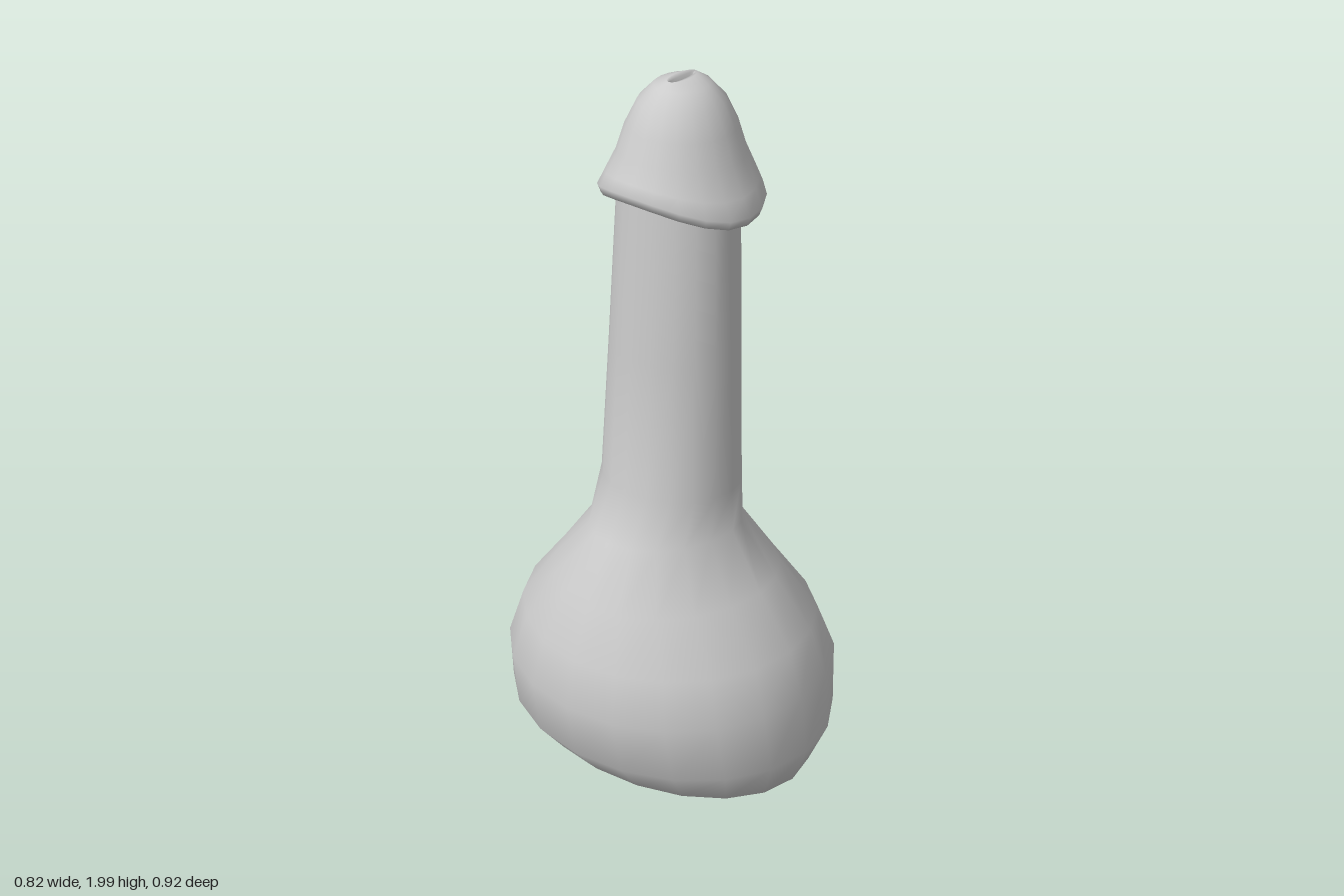
import * as THREE from 'three';

const SIDES = 20;
const gauss = (a, centre, width) => Math.exp(-(((a - centre) / width) ** 2));

// Skin a surface over rings of points, listed from bottom to top
function loft(name, rows, pointAt, material) {
  const positions = [], index = [];
  rows.forEach((row) => {
    for (let i = 0; i < SIDES; i++) {
      let a = (i / SIDES) * Math.PI * 2;
      if (a > Math.PI) a -= Math.PI * 2;
      positions.push(...pointAt(row, a));
    }
  });
  for (let j = 0; j < rows.length - 1; j++) {
    for (let i = 0; i < SIDES; i++) {
      const k = (i + 1) % SIDES;
      const p = j * SIDES + i, q = j * SIDES + k;
      index.push(p, p + SIDES, q, q, p + SIDES, q + SIDES);
    }
  }
  const geometry = new THREE.BufferGeometry();
  geometry.setAttribute('position', new THREE.Float32BufferAttribute(positions, 3));
  geometry.setIndex(index);
  geometry.computeVertexNormals();
  const mesh = new THREE.Mesh(geometry, material);
  mesh.name = name;
  return mesh;
}

export function createModel() {
  const group = new THREE.Group();
  group.name = 'model';
  const material = new THREE.MeshStandardMaterial({ color: 0xcccccc, side: THREE.DoubleSide });

  // Two-lobed base and tapering shaft: y, reach to -x, +x, +z, -z, groove depth, saddle lift
  const bodyRows = [
    [0.035, 0.001, 0.001, 0.001, 0.001, 0, 0],
    [0.008, 0.11, 0.11, 0.15, 0.15, 0.1, 0.03],
    [0.05, 0.22, 0.21, 0.3, 0.3, 0.22, 0.02],
    [0.12, 0.31, 0.31, 0.42, 0.42, 0.28, 0.01],
    [0.23, 0.392, 0.4, 0.462, 0.457, 0.28, 0],
    [0.39, 0.42, 0.435, 0.44, 0.447, 0.26, 0],
    [0.52, 0.388, 0.37, 0.4, 0.4, 0.24, 0],
    [0.66, 0.335, 0.265, 0.3, 0.29, 0.18, 0],
    [0.81, 0.25, 0.155, 0.205, 0.183, 0.04, 0],
    [0.93, 0.182, 0.147, 0.203, 0.178, 0, 0],
    [1.3, 0.16, 0.15, 0.192, 0.155, 0, 0],
    [1.76, 0.135, 0.148, 0.18, 0.128, 0, 0],
  ];
  group.add(loft('baseAndShaft', bodyRows, ([y, xn, xp, zf, zb, groove, lift], a) => {
    const c = Math.cos(a), s = Math.sin(a);
    const k = 1 - groove * gauss(a, 0.157, 0.32);
    return [c * (c > 0 ? xp : xn) * k, y + lift * c * c, s * (s > 0 ? zf : zb) * k];
  }, material));

  // Cap with a flared, notched rim and a slit sunk into its tip: y, x radius, z radius, rim sway
  const capRows = [
    [1.71, 0.12, 0.12, 1],
    [1.678, 0.17, 0.18, 1],
    [1.672, 0.188, 0.202, 1],
    [1.695, 0.197, 0.211, 1],
    [1.74, 0.184, 0.19, 0.7],
    [1.81, 0.161, 0.157, 0.3],
    [1.88, 0.142, 0.135, 0.1],
    [1.945, 0.112, 0.104, 0],
    [1.985, 0.075, 0.065, 0],
    [2.0, 0.05, 0.022, 0],
    [1.996, 0.045, 0.009, 0],
    [1.97, 0.038, 0.005, 0],
    [1.965, 0.001, 0.001, 0],
  ];
  group.add(loft('cap', capRows, ([y, rx, rz, sway], a) => {
    const c = Math.cos(a), s = Math.sin(a);
    const notch = sway * gauss(a, 0, 0.15);
    const rise = sway * (c > 0 ? 0.03 : 0.06) * c * c + notch * 0.06;
    const k = 1 - 0.1 * notch;
    return [0.01 + rx * c * k, y + rise, 0.025 + rz * s * k];
  }, material));

  return group;
}
